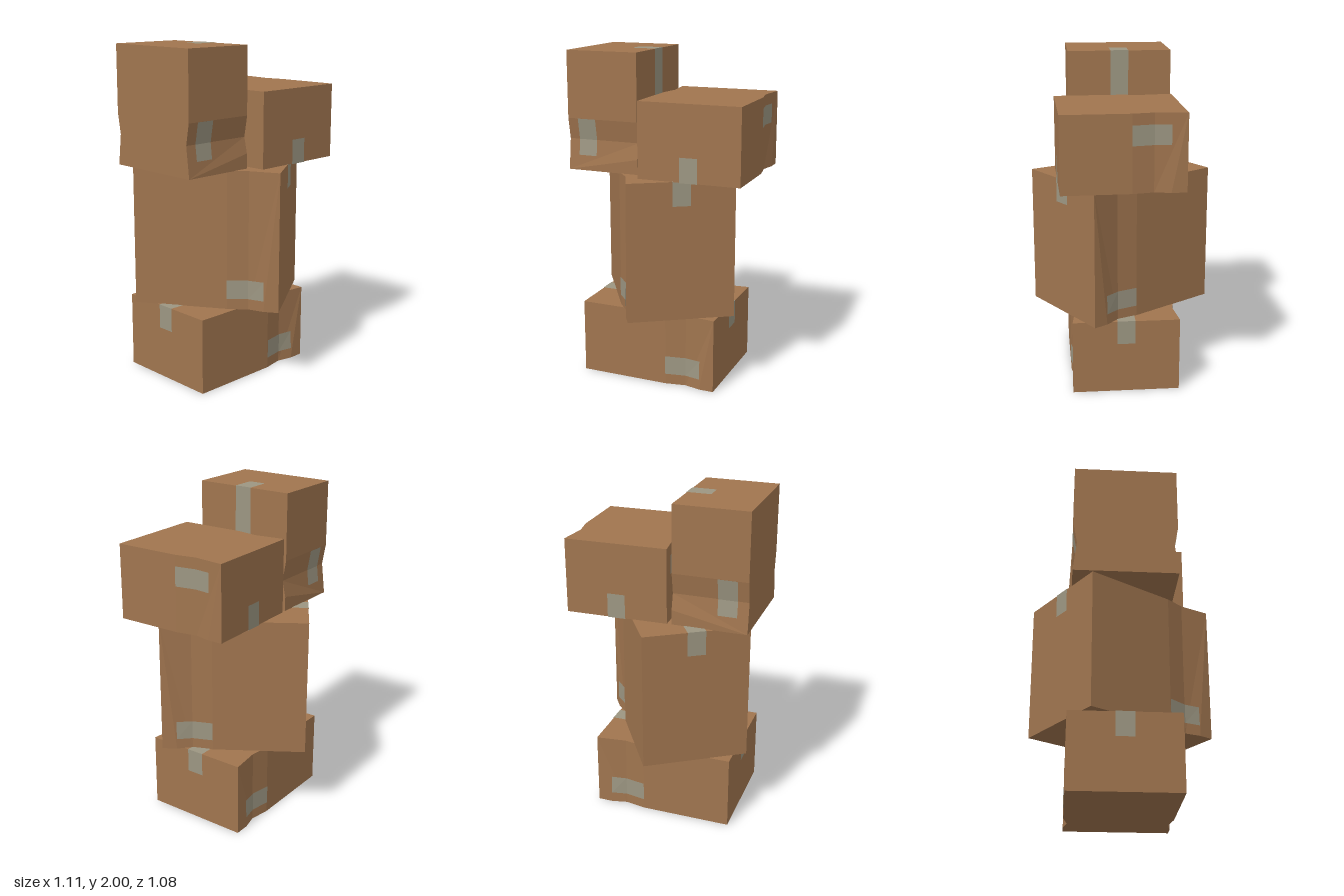
import * as THREE from 'three';

const cardboard = new THREE.MeshStandardMaterial({ color: 0xa0754f, flatShading: true, side: THREE.DoubleSide });
const tapeGrey = new THREE.MeshStandardMaterial({ color: 0x9c9682, flatShading: true, side: THREE.DoubleSide });

// Distances from the dented end of a box: flat start, deepest crease, bulge
const FLAT = 0.31, CREASE = 0.185, BULGE = 0.09, DEPTH = 0.022;

// Mesh from convex polygons, each fanned into triangles
function polyMesh(name, polygons, material) {
  const pos = [];
  for (const p of polygons) {
    for (let i = 1; i < p.length - 1; i++) pos.push(...p[0], ...p[i], ...p[i + 1]);
  }
  const geo = new THREE.BufferGeometry();
  geo.setAttribute('position', new THREE.Float32BufferAttribute(pos, 3));
  geo.computeVertexNormals();
  return new THREE.Mesh(geo, material);
}

// Mirror polygons across z, keeping them facing outward
const mirrorZ = (polys) => polys.map((p) => p.map(([x, y, z]) => [x, y, -z]).reverse());

// Local frame: x runs along the length to the dented end, y to the taped side, z across.
// bulgeSide is +1 or -1: the y side on which the crease puckers outward.
function makeBox(name, L, H, W, bulgeSide) {
  const box = new THREE.Group();
  box.name = name;
  const end = L / 2, h = H / 2, w = W / 2, b = bulgeSide * h;
  const pt = (s, y, depth = 0) => [end - s, y, w - depth];

  // one dented long side
  let side = [
    [pt(L, -h), pt(FLAT, -h), pt(FLAT, h), pt(L, h)],
    [pt(FLAT, -h), pt(CREASE, -h, DEPTH), pt(CREASE, h, DEPTH), pt(FLAT, h)],
  ];
  const pucker = [
    [pt(CREASE, b, DEPTH), pt(0, -b), pt(CREASE, -b, DEPTH)],
    [pt(CREASE, b, DEPTH), pt(BULGE, b), pt(0, -b)],
    [pt(BULGE, b), pt(0, b), pt(0, -b)],
  ];
  side.push(...(bulgeSide < 0 ? pucker : pucker.map((p) => [...p].reverse())));
  const faces = [...side, ...mirrorZ(side)];

  // top and bottom, in strips between the creases
  for (const y of [-h, h]) {
    const rim = [[L, 0], [FLAT, 0], [CREASE, DEPTH], [BULGE, y === b ? 0 : DEPTH * BULGE / CREASE], [0, 0]];
    for (let i = 0; i < rim.length - 1; i++) {
      const p = pt(rim[i][0], y, rim[i][1]), q = pt(rim[i + 1][0], y, rim[i + 1][1]);
      const strip = [p, q, [q[0], y, -q[2]], [p[0], y, -p[2]]];
      faces.push(y > 0 ? strip : strip.reverse());
    }
  }
  // ends
  faces.push([[end, -h, w], [end, -h, -w], [end, h, -w], [end, h, w]]);
  faces.push([[-end, -h, -w], [-end, -h, w], [-end, h, w], [-end, h, -w]]);
  const shell = polyMesh('shell', faces, cardboard);
  shell.name = 'cardboardShell';
  box.add(shell);

  // tape over the seam, folded down both ends
  const e = 0.002, t = 0.054;
  const path = [[-end - e, h - 0.145], [-end - e, h + e], [end + e, h + e], [end + e, h - 0.145]];
  const band = [];
  for (let i = 0; i < 3; i++) {
    const [p, q] = [path[i], path[i + 1]];
    band.push([[...p, t], [...q, t], [...q, -t], [...p, -t]]);
  }
  const seam = polyMesh('seam', band, tapeGrey);
  seam.name = 'seamTape';
  box.add(seam);

  // tape patches lying in the creases
  const lo = -h + 0.065, hi = -h + 0.18;
  const nearBulge = (y) => Math.min(1, 2 * Math.abs(y - b) / H) * DEPTH * BULGE / CREASE;
  const at = (s, y) => pt(s, y, (s === FLAT ? 0 : s === CREASE ? DEPTH : nearBulge(y)) - 0.003);
  const patch = [[FLAT, CREASE], [CREASE, BULGE]].map(([s, r]) => [at(s, lo), at(r, lo), at(r, hi), at(s, hi)]);
  const patches = polyMesh('patches', [...patch, ...mirrorZ(patch)], tapeGrey);
  patches.name = 'sideTape';
  box.add(patches);
  return box;
}

// Place a box by its centre, the direction of its dented end and of its taped side
function place(box, centre, along, taped) {
  const x = new THREE.Vector3(...along).normalize();
  const y = new THREE.Vector3(...taped).normalize();
  const z = new THREE.Vector3().crossVectors(x, y);
  box.quaternion.setFromRotationMatrix(new THREE.Matrix4().makeBasis(x, y, z));
  box.position.set(...centre);
  return box;
}

export function createModel() {
  const model = new THREE.Group();
  model.name = 'boxStack';
  model.add(
    place(makeBox('bottomBox', 0.86, 0.455, 0.645, -1), [-0.045, 0.2275, 0], [1, 0, 0], [0, 1, 0]),
    place(makeBox('middleBox', 0.874, 0.837, 0.638, -1), [-0.04, 0.8725, 0], [0.545, 0, 0.839], [0, 1, 0]),
    place(makeBox('uprightTopBox', 0.71, 0.45, 0.62, 1), [-0.331, 1.645, 0], [0, -1, 0], [1, 0, 0]),
    place(makeBox('flatTopBox', 0.71, 0.45, 0.62, 1), [0.24, 1.515, 0.037], [-0.021, 0, -1], [0, -1, 0]),
  );
  return model;
}
